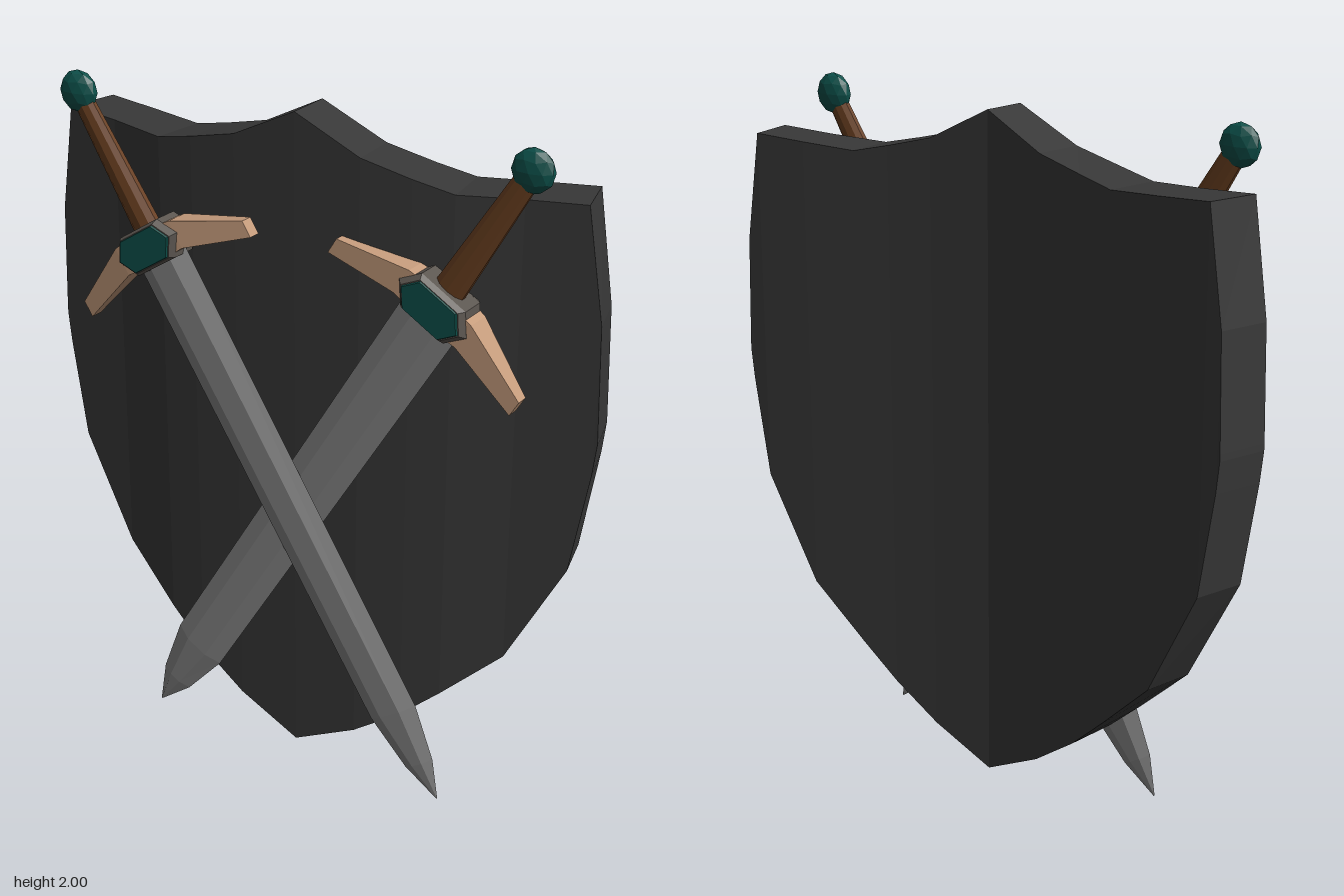
import * as THREE from 'three';

const paint = (color) => new THREE.MeshStandardMaterial({ color, flatShading: true });
const mats = {
  shield: paint(0x383838), steel: paint(0x868686), rim: paint(0x5c5650),
  tan: paint(0xc69c7c), grip: paint(0x693f20), teal: paint(0x0c4f49),
};

// Skin a list of equal-length rings (counterclockwise seen from the last ring) and cap both ends
function loft(rings) {
  const n = rings[0].length, last = rings.length - 1, index = [];
  for (let i = 0; i < last; i++) {
    for (let j = 0; j < n; j++) {
      const a = i * n + j, b = i * n + (j + 1) % n;
      index.push(a, b, b + n, a, b + n, a + n);
    }
  }
  for (let k = 1; k < n - 1; k++) {
    index.push(0, k + 1, k, last * n, last * n + k, last * n + k + 1);
  }
  const geo = new THREE.BufferGeometry();
  geo.setAttribute('position', new THREE.Float32BufferAttribute(rings.flat(2), 3));
  geo.setIndex(index);
  const flat = geo.toNonIndexed();
  flat.computeVertexNormals();
  return flat;
}

function part(parent, name, geo, mat) {
  const mesh = new THREE.Mesh(geo, mat);
  mesh.name = name;
  parent.add(mesh);
  return mesh;
}

// Shield: columns of [x, top, bottom, front z, back z], mirrored about the middle
function shieldGeometry() {
  const half = [
    [0, 1.985, 0.01, 0.07, -0.073],
    [0.2, 1.89, 0.107, 0.064, -0.09],
    [0.35, 1.855, 0.21, 0.053, -0.107],
    [0.47, 1.83, 0.315, 0.038, -0.125],
    [0.65, 1.84, 0.48, 0.0, -0.152],
    [0.82, 1.85, 0.8, -0.02, -0.172],
    [0.87, 1.53, 1.1, -0.027, -0.175],
    [0.88, 1.21, 1.19, -0.028, -0.176],
  ];
  const left = half.slice(1).reverse().map(([x, ...rest]) => [-x, ...rest]);
  return loft([...left, ...half].map(([x, top, bottom, front, back]) => [
    [x * 0.955, top, back], [x, top, front], [x, bottom, front], [x * 0.955, bottom, back],
  ]));
}

// Blade: hexagonal sections [y, half width, half flat, half thickness] from the tip up
function bladeGeometry() {
  const sections = [
    [-1.798, 0.002, 0.001, 0.001],
    [-1.68, 0.052, 0.018, 0.014],
    [-1.51, 0.086, 0.036, 0.021],
    [-0.03, 0.092, 0.04, 0.024],
  ];
  return loft(sections.map(([y, w, f, t]) => [
    [-f, y, t], [f, y, t], [w, y, 0], [f, y, -t], [-f, y, -t], [-w, y, 0],
  ]));
}

// Guard arm: drooping, tapering box sections [x, y, half height, half depth]
function armGeometry() {
  const sections = [
    [0, 0, 0.052, 0.045],
    [0.11, -0.003, 0.042, 0.04],
    [0.328, -0.078, 0.025, 0.02],
  ];
  return loft(sections.map(([x, y, h, d]) => [
    [x, y + h, -d], [x, y + h, d], [x, y - h, d], [x, y - h, -d],
  ]));
}

// Hexagonal block with sections [z, scale]
function hexGeometry(sections) {
  const hex = [[0.115, 0], [0.074, 0.057], [-0.074, 0.057], [-0.115, 0], [-0.074, -0.057], [0.074, -0.057]];
  return loft(sections.map(([z, s]) => hex.map(([x, y]) => [x * s, y * s, z])));
}

// Sword pointing down, with its guard at the origin
function makeSword(name) {
  const sword = new THREE.Group();
  sword.name = name;
  part(sword, 'blade', bladeGeometry(), mats.steel);
  for (const side of [0, 1]) {
    part(sword, 'guardArm', armGeometry(), mats.tan).rotation.y = side * Math.PI;
  }
  part(sword, 'guardHub', hexGeometry([[-0.058, 0.9], [-0.04, 1.04], [0.04, 1.04], [0.058, 0.9]]), mats.rim);
  part(sword, 'guardGem', hexGeometry([[-0.064, 0.84], [-0.05, 0.9], [0.05, 0.9], [0.064, 0.84]]), mats.teal);

  const grip = part(sword, 'grip', new THREE.CylinderGeometry(0.034, 0.048, 0.42, 10), mats.grip);
  grip.position.y = 0.235;
  grip.scale.z = 0.58;

  const pommel = part(sword, 'pommel', new THREE.IcosahedronGeometry(0.061, 1), mats.teal);
  pommel.position.y = 0.475;
  pommel.scale.z = 0.52;
  return sword;
}

export function createModel() {
  const model = new THREE.Group();
  model.name = 'shieldWithCrossedSwords';
  part(model, 'shield', shieldGeometry(), mats.shield);

  // Crossed swords, leaning slightly away from the shield towards their tips
  const front = makeSword('frontSword');
  front.position.set(-0.44, 1.54, 0.105);
  front.rotation.set(-0.015, 0, THREE.MathUtils.degToRad(32.3));
  const rear = makeSword('rearSword');
  rear.position.set(0.455, 1.54, 0.077);
  rear.rotation.set(-0.015, 0, THREE.MathUtils.degToRad(-31.4));
  model.add(front, rear);
  return model;
}
